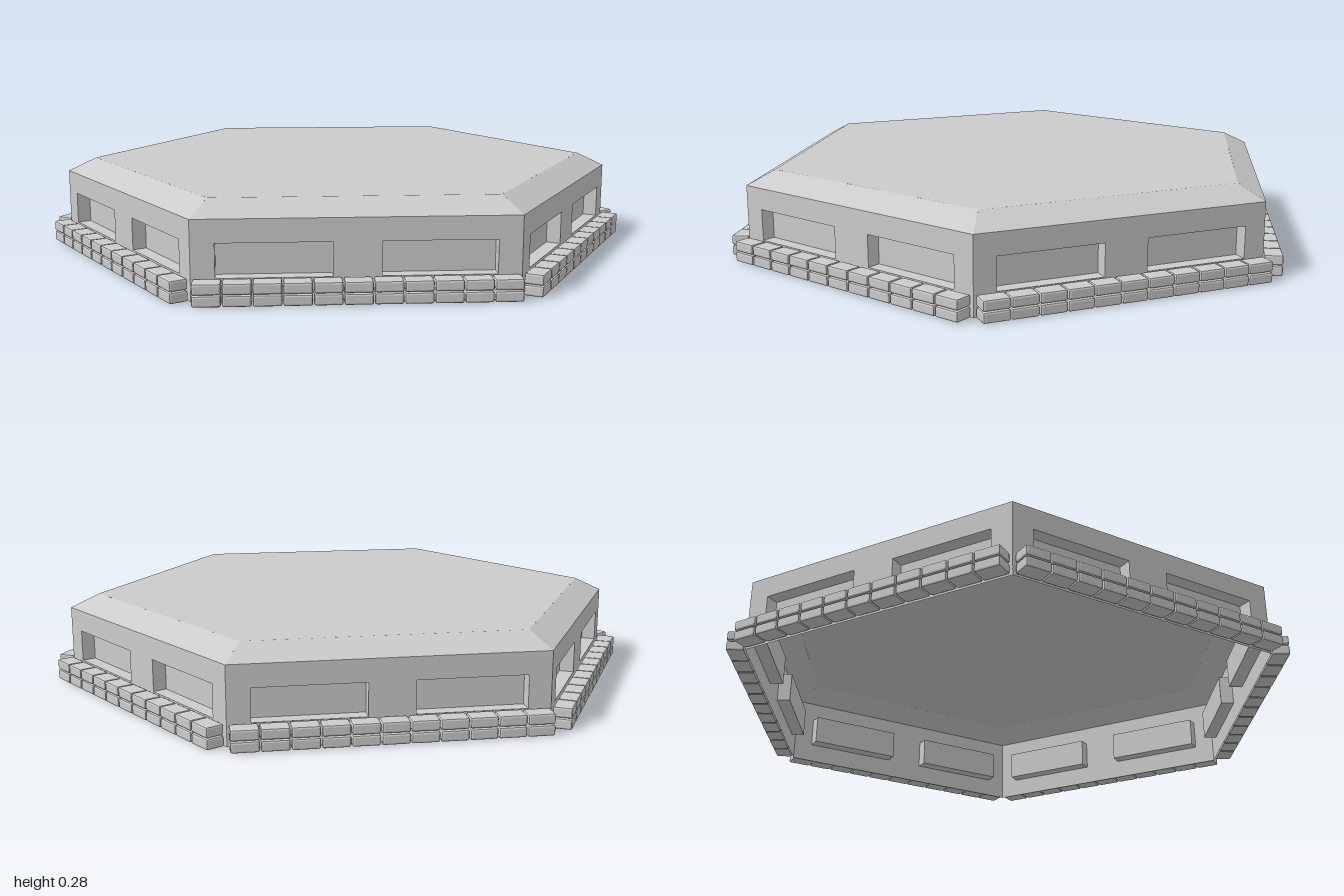
import * as THREE from 'three';
import { RoundedBoxGeometry } from 'three/addons/geometries/RoundedBoxGeometry.js';

const WALL = { apothem: 0.822, half: 0.4746, height: 0.24 };
const ROOF = { apothem: 0.74, half: 0.4272, height: 0.285 };
const WINDOW = { centre: 0.2375, width: 0.335, bottom: 0.068, top: 0.17, depth: 0.045 };
const BRICK = { count: 11, rows: 2, pitch: 0.0856, height: 0.035, depth: 0.058, apothem: 0.856 };

export function createModel() {
  const material = new THREE.MeshStandardMaterial({
    color: 0xcccccc, flatShading: true, side: THREE.DoubleSide,
  });
  const add = (parent, name, geometry, x = 0, y = 0, z = 0) => {
    const mesh = new THREE.Mesh(geometry, material);
    mesh.name = name;
    mesh.position.set(x, y, z);
    parent.add(mesh);
    return mesh;
  };

  // Wall panel with two window openings
  const wallShape = new THREE.Shape([
    new THREE.Vector2(-WALL.half, 0), new THREE.Vector2(WALL.half, 0),
    new THREE.Vector2(WALL.half, WALL.height), new THREE.Vector2(-WALL.half, WALL.height),
  ]);
  for (const s of [-1, 1]) {
    const l = s * WINDOW.centre - WINDOW.width / 2, r = l + WINDOW.width;
    wallShape.holes.push(new THREE.Path([
      new THREE.Vector2(l, WINDOW.bottom), new THREE.Vector2(l, WINDOW.top),
      new THREE.Vector2(r, WINDOW.top), new THREE.Vector2(r, WINDOW.bottom),
    ]));
  }
  const wallGeometry = new THREE.ShapeGeometry(wallShape);

  // Sloping roof edge: a plane with its corners moved to the two hexagons
  const slopeGeometry = new THREE.PlaneGeometry(2, 2);
  const p = slopeGeometry.attributes.position;
  for (let i = 0; i < p.count; i++) {
    const ring = p.getY(i) > 0 ? ROOF : WALL;
    p.setXYZ(i, Math.sign(p.getX(i)) * ring.half, ring.height, ring.apothem);
  }
  slopeGeometry.computeVertexNormals();

  // Window recess: a thin box open towards the outside
  const h = WINDOW.top - WINDOW.bottom;
  const buildRecess = () => {
    const recess = new THREE.Group();
    recess.name = 'windowRecess';
    add(recess, 'recessBack', new THREE.PlaneGeometry(WINDOW.width, h), 0, 0, -WINDOW.depth);
    for (const s of [-1, 1]) {
      add(recess, 'recessSide', new THREE.PlaneGeometry(WINDOW.depth, h),
        s * WINDOW.width / 2, 0, -WINDOW.depth / 2).rotation.y = -s * Math.PI / 2;
      add(recess, s > 0 ? 'recessTop' : 'recessSill',
        new THREE.PlaneGeometry(WINDOW.width, WINDOW.depth),
        0, s * h / 2, -WINDOW.depth / 2).rotation.x = s * Math.PI / 2;
    }
    return recess;
  };

  const brickGeometry = new RoundedBoxGeometry(
    BRICK.pitch - 0.003, BRICK.height - 0.002, BRICK.depth, 1, 0.006);

  const model = new THREE.Group();
  model.name = 'hexagonalBunker';

  // Six equal sides, each with wall, roof slope, windows and two brick courses
  for (let i = 0; i < 6; i++) {
    const side = new THREE.Group();
    side.name = 'side' + (i + 1);
    side.rotation.y = Math.PI / 6 + i * Math.PI / 3;
    model.add(side);

    add(side, 'wall', wallGeometry, 0, 0, WALL.apothem);
    add(side, 'roofSlope', slopeGeometry);
    for (const s of [-1, 1]) {
      const recess = buildRecess();
      recess.position.set(s * WINDOW.centre, (WINDOW.bottom + WINDOW.top) / 2, WALL.apothem);
      side.add(recess);
    }
    for (let row = 0; row < BRICK.rows; row++) {
      for (let b = 0; b < BRICK.count; b++) {
        add(side, 'brick', brickGeometry, (b - (BRICK.count - 1) / 2) * BRICK.pitch,
          (row + 0.5) * BRICK.height, BRICK.apothem);
      }
    }
  }

  // Flat roof
  const roof = new THREE.CircleGeometry(ROOF.half * 2, 6, Math.PI / 2);
  add(model, 'roof', roof.rotateX(-Math.PI / 2), 0, ROOF.height, 0);
  return model;
}
